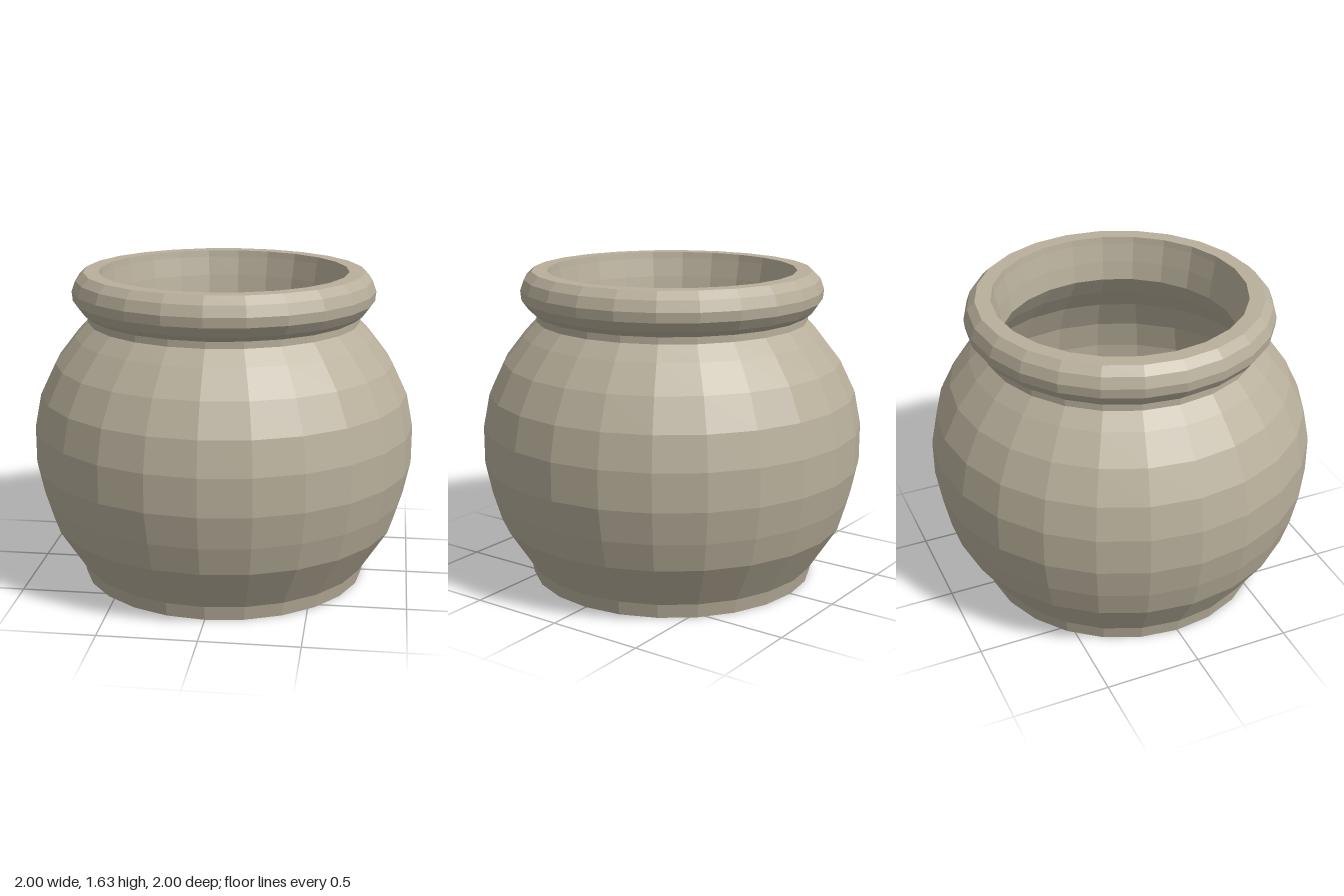
import * as THREE from 'three';

const SIDES = 24;

// Faceted surface of revolution; profiles run up the outside and down the inside
function turned(name, profile, material) {
  const points = profile.map(([r, y]) => new THREE.Vector2(r, y));
  const mesh = new THREE.Mesh(new THREE.LatheGeometry(points, SIDES), material);
  mesh.name = name;
  return mesh;
}

export function createModel() {
  const pot = new THREE.Group();
  pot.name = 'pot';

  const clay = new THREE.MeshStandardMaterial({ color: 0xb8af9b, flatShading: true });
  clay.name = 'grey clay';

  // Flat underside and short foot
  pot.add(turned('foot', [[0, 0], [0.755, 0], [0.77, 0.075]], clay));

  // Round belly, narrowing to the neck
  pot.add(turned('belly', [
    [0.77, 0.075], [0.92, 0.31], [0.965, 0.46], [1, 0.63], [1, 0.825],
    [0.965, 1], [0.885, 1.165], [0.78, 1.3], [0.71, 1.375], [0.71, 1.41],
  ], clay));

  // Rolled rim with a flat lip and tapered mouth
  pot.add(turned('rim', [
    [0.71, 1.41], [0.75, 1.44], [0.785, 1.49], [0.79, 1.54], [0.77, 1.595],
    [0.73, 1.635], [0.65, 1.635], [0.645, 1.6], [0.625, 1.5], [0.61, 1.4],
  ], clay));

  // Hollow inside wall and floor
  pot.add(turned('interior', [
    [0.61, 1.4], [0.69, 1.28], [0.79, 1.15], [0.87, 0.98], [0.9, 0.82],
    [0.9, 0.64], [0.87, 0.48], [0.82, 0.33], [0.69, 0.1], [0, 0.1],
  ], clay));

  return pot;
}
